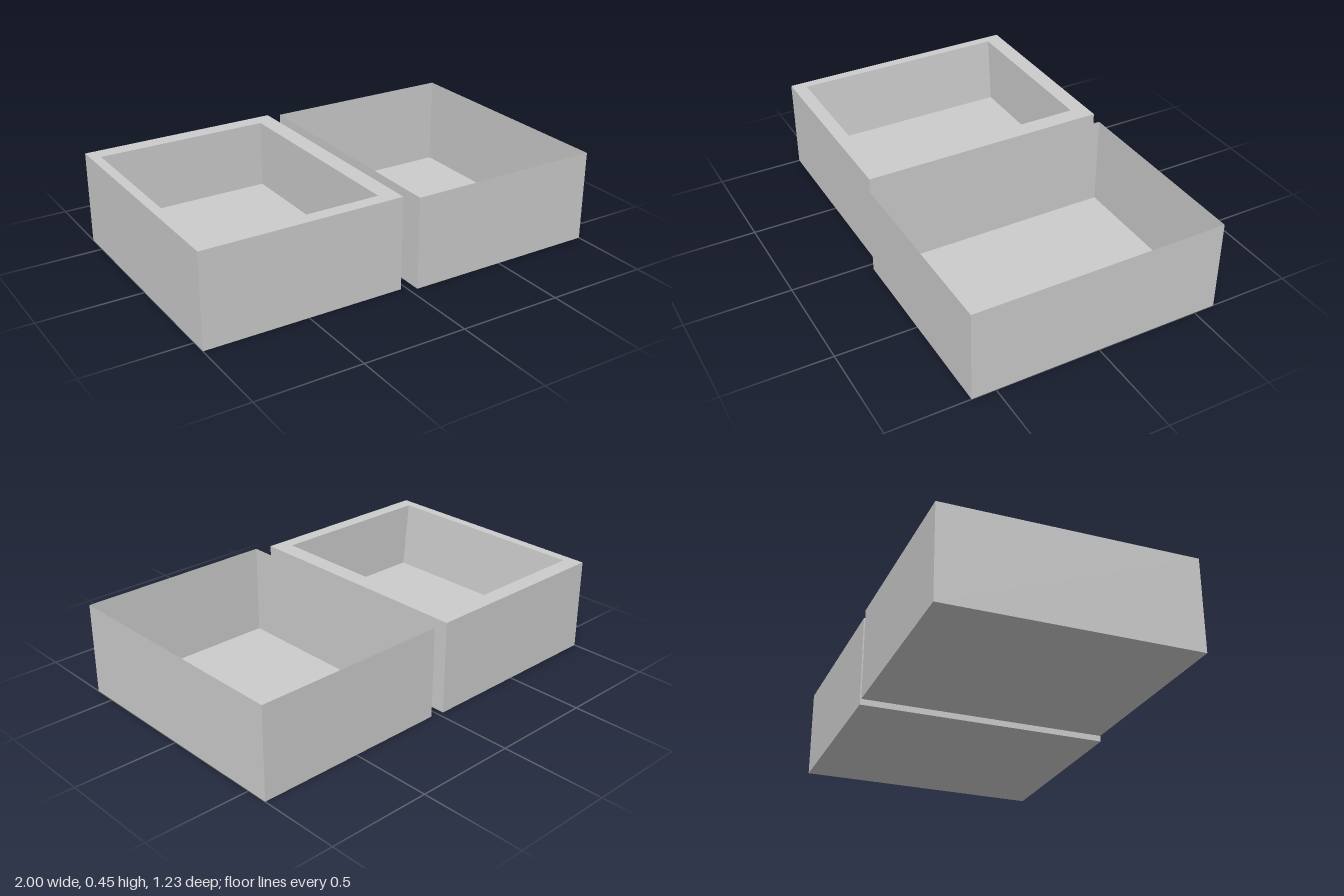
import * as THREE from 'three';

// Rectangular cross-section at height y, counter-clockwise seen from above
const ring = (y, x0, x1, z0, z1) => [[x0, y, z1], [x1, y, z1], [x1, y, z0], [x0, y, z0]];

// Joins successive rings with flat quads; the first ring is closed below,
// the last ring is closed above when capEnd is true
function loft(rings, capEnd) {
  const pos = [];
  const quad = (a, b, c, d) => pos.push(...a, ...b, ...c, ...a, ...c, ...d);
  quad(...[...rings[0]].reverse());
  for (let r = 0; r < rings.length - 1; r++) {
    for (let i = 0; i < 4; i++) {
      const j = (i + 1) % 4;
      quad(rings[r][i], rings[r][j], rings[r + 1][j], rings[r + 1][i]);
    }
  }
  if (capEnd) quad(...rings[rings.length - 1]);
  const geometry = new THREE.BufferGeometry();
  geometry.setAttribute('position', new THREE.Float32BufferAttribute(pos, 3));
  geometry.computeVertexNormals();
  return geometry;
}

export function createModel() {
  const group = new THREE.Group();
  const grey = new THREE.MeshStandardMaterial({ color: 0xcccccc, side: THREE.DoubleSide });
  grey.name = 'plain grey';

  // Thick-walled tray: outer walls, rim, inner walls (one sloping) and raised floor
  const tray = new THREE.Mesh(loft([
    ring(0, -1, -0.027, -0.615, 0.578),
    ring(0.45, -1, -0.027, -0.615, 0.578),
    ring(0.45, -0.953, -0.112, -0.535, 0.512),
    ring(0.12, -0.92, -0.112, -0.535, 0.512),
  ], true), grey);
  tray.name = 'thickTray';

  // Open box with paper-thin walls
  const box = new THREE.Mesh(loft([
    ring(0, 0.037, 1, -0.604, 0.613),
    ring(0.443, 0.037, 1, -0.604, 0.613),
  ], false), grey);
  box.name = 'thinBox';

  group.add(tray, box);
  return group;
}
